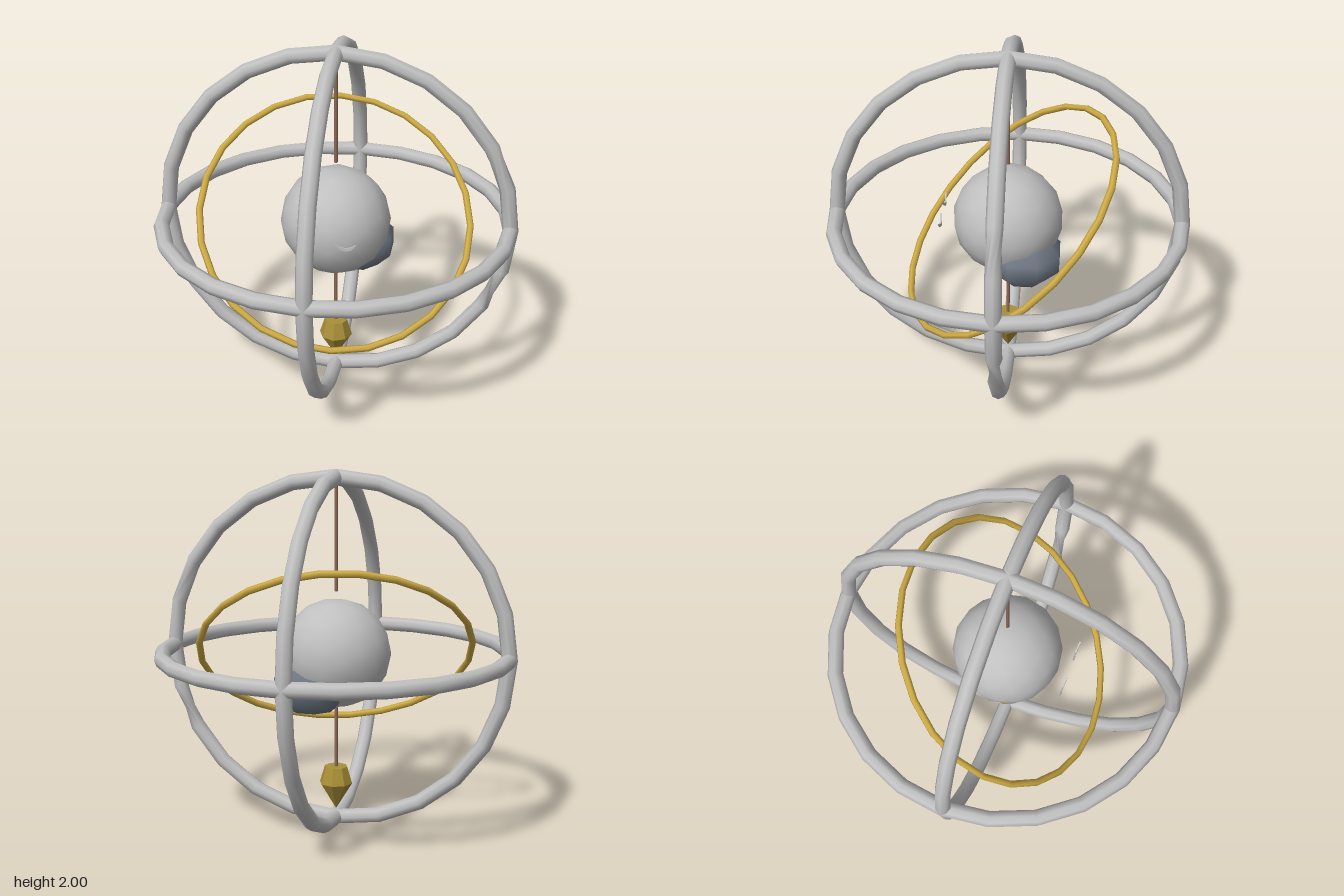
import * as THREE from 'three';

const material = (name, color, extra = {}) => {
  const m = new THREE.MeshStandardMaterial({ color, ...extra });
  m.name = name;
  return m;
};

export function createModel() {
  const silver = material('silver', 0xc0c0c0);
  const slate = material('slate', 0x6e7783);
  const gold = material('gold', 0xcfac45);
  const oldGold = material('oldGold', 0xa88f38, { flatShading: true });
  const copper = material('copper', 0x8f6a57);

  const model = new THREE.Group();
  model.name = 'armillarySphere';
  const CENTER = 0.997;

  const add = (name, geometry, mat, x = 0, y = 0, z = 0, parent = model) => {
    const mesh = new THREE.Mesh(geometry, mat);
    mesh.name = name;
    mesh.position.set(x, y, z);
    parent.add(mesh);
    return mesh;
  };

  // Three large crossing rings
  const R = 0.956, r = 0.043;
  const ring = () => new THREE.TorusGeometry(R, r, 8, 24);

  // The front-facing ring has a twisted segment above and below its +x side
  const twisted = ring();
  const pos = twisted.attributes.position, nor = twisted.attributes.normal;
  for (let i = 0; i < pos.count; i++) {
    const u = Math.atan2(pos.getY(i), pos.getX(i));
    if (Math.abs(u) > 0.28) continue;
    const v = Math.atan2(pos.getZ(i), Math.hypot(pos.getX(i), pos.getY(i)) - R) + Math.PI / 2;
    const d = R + r * Math.cos(v);
    pos.setXYZ(i, d * Math.cos(u), d * Math.sin(u), r * Math.sin(v));
    nor.setXYZ(i, Math.cos(v) * Math.cos(u), Math.cos(v) * Math.sin(u), Math.sin(v));
  }
  add('frontRing', twisted, silver, 0, CENTER);
  add('sideRing', ring().rotateY(Math.PI / 2), silver, 0, CENTER);
  add('horizontalRing', ring().rotateX(Math.PI / 2), silver, 0, CENTER);

  // Thin tilted ring
  const tilted = add('tiltedRing', new THREE.TorusGeometry(0.752, 0.019, 6, 24), gold, 0, CENTER);
  tilted.quaternion.setFromUnitVectors(
    new THREE.Vector3(0, 0, 1),
    new THREE.Vector3(0.19, 0.737, 0.647).normalize()
  );

  // Central globe and the dark mass bulging from its lower back
  add('globe', new THREE.IcosahedronGeometry(0.305, 2), silver, 0, 0.99);
  const mass = add('darkMass', new THREE.SphereGeometry(0.22, 8, 5), slate, 0.11, 0.82, -0.1);
  mass.rotation.y = Math.PI / 8;
  mass.scale.y = 0.73;

  // Axis rod in two lengths
  for (const [name, low, high] of [['upperRod', 1.335, 1.96], ['lowerRod', 0.33, 0.7]]) {
    add(name, new THREE.CylinderGeometry(0.01, 0.01, high - low, 8), copper, 0, (low + high) / 2);
  }

  // Faceted plumb weight
  const profile = [[0, 0.09], [0.094, 0.245], [0.065, 0.34], [0, 0.34]];
  add('plumbWeight', new THREE.LatheGeometry(profile.map(p => new THREE.Vector2(...p)), 8), oldGold);

  // Two small birds in front of the globe, each a pair of raised wings
  const wing = new THREE.Shape([
    [0, 0], [0.03, 0.008], [0.058, 0.043], [0.024, 0.024], [0, 0.016]
  ].map(p => new THREE.Vector2(...p)));
  const wingGeometry = new THREE.ExtrudeGeometry(wing, { depth: 0.009, bevelEnabled: false });
  for (const x of [-0.108, 0.108]) {
    const bird = new THREE.Group();
    bird.name = 'bird';
    bird.position.set(x, 0.993, 0.355);
    model.add(bird);
    add('leftWing', wingGeometry, silver, 0, 0, 0, bird).rotation.y = -0.1;
    const right = add('rightWing', wingGeometry, silver, 0, 0, 0, bird);
    right.scale.x = -1;
    right.rotation.y = 0.1;
  }
  return model;
}
